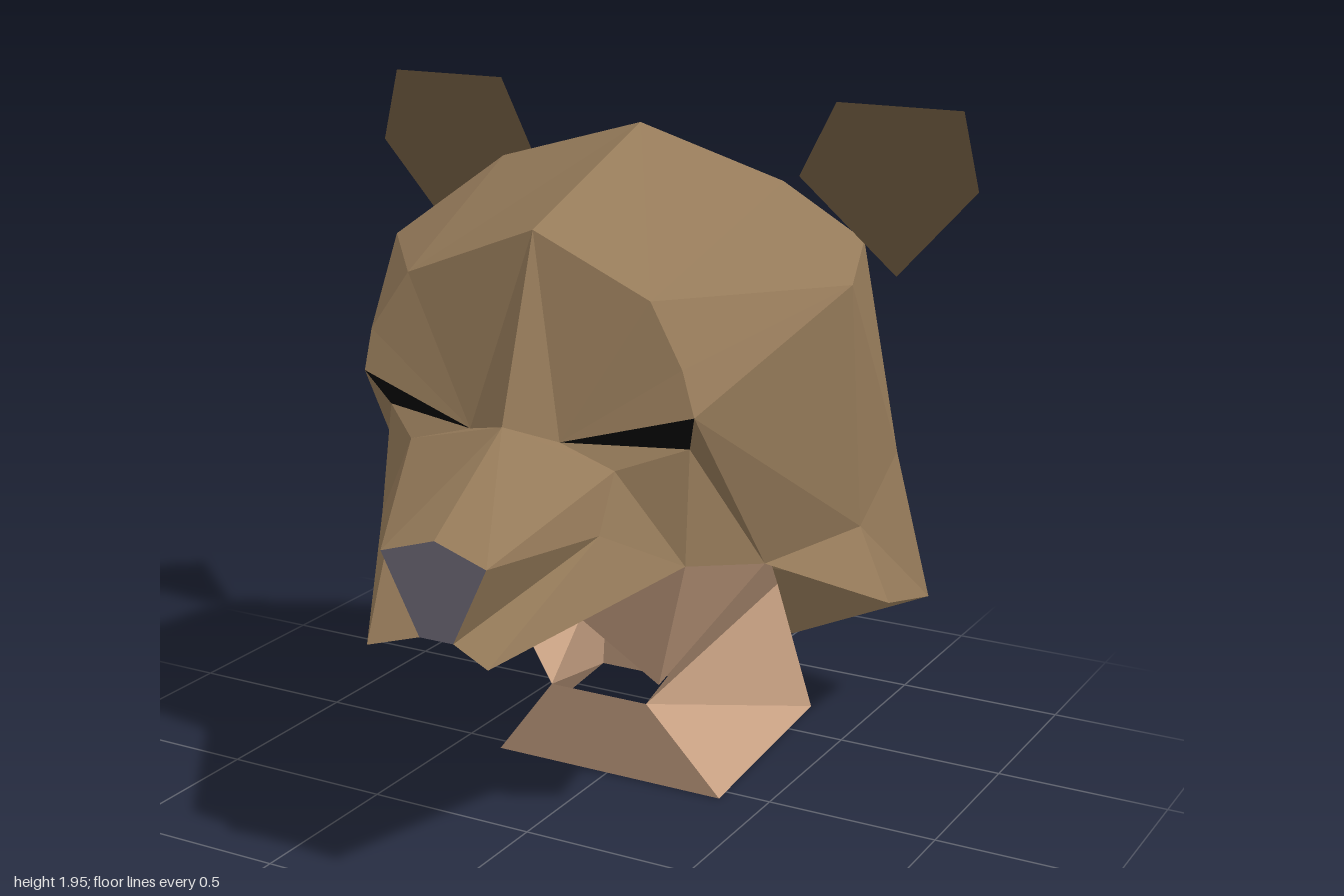
import * as THREE from 'three';

const mat = (name, color) => {
  const m = new THREE.MeshStandardMaterial({ color, flatShading: true, side: THREE.DoubleSide });
  m.name = name;
  return m;
};

// Corner points of the left half: x, y, z and how far the mirrored corner is shifted in x
const points = {
  // centre line
  crown: [0.05, 1.89, -0.05, 0.1], foreheadTop: [0.05, 1.69, 0.52, 0.1], bridge: [0.05, 1.21, 0.68, 0.1],
  noseTop: [0.05, 1.0, 1, 0.1], backTop: [0.05, 1.635, -0.575, 0.1], backMid: [0.05, 1.16, -0.79, 0.1],
  nape: [0, 0.055, -1, 0],
  // skull
  foreheadSide: [0.365, 1.53, 0.475, 0], temple: [0.47, 1.37, 0.5, 0], crownSide: [0.42, 1.74, -0.18, -0.05],
  sideTop: [0.73, 1.53, 0.05, 0.04], sideLow: [0.73, 0.845, -0.05, -0.01], sideBack: [0.6, 1.57, -0.325, 0.04],
  backSide: [0.575, 0.87, -0.68, 0.05], backLow: [0.63, 0.375, -0.84, 0],
  cheek: [0.84, 0.66, 0, 0.05], jawBack: [0.57, 0.79, 0.21, 0.04],
  // eyes and muzzle
  eyeOuter: [0.52, 1.26, 0.53, 0.045], eyeInner: [0.16, 1.16, 0.58, 0.05], eyeLow: [0.48, 1.16, 0.475, 0.05],
  underEye: [0.31, 1.1, 0.56, 0], jowl: [0.47, 0.845, 0.475, 0], muzzleSide: [0.31, 0.95, 0.64, 0],
  noseSide: [0.2, 0.95, 1, 0.09], noseLow: [0.1, 0.74, 1, 0.1], lip: [0.2, 0.69, 1, 0.04],
  // mouth and neck
  palateFront: [0.1, 0.74, 0.68, 0.1], palateBack: [0.12, 0.69, 0.5, 0], jawTip: [0.31, 0.43, 0.315, 0],
  throat: [0.5, 0.77, 0.05, 0], neckFront: [0.155, 0.265, 0.1, 0], neckFrontLow: [0.365, 0, 0.05, 0],
  neckBack: [0.29, 0.47, -0.475, 0], neckBackLow: [0.365, 0.055, -0.575, 0],
};

// A leading '-' picks the mirrored corner; side -1 mirrors the whole face
function corner(name, side) {
  if (name[0] === '-') { name = name.slice(1); side = -side; }
  const [x, y, z, shift] = points[name];
  return new THREE.Vector3(side > 0 ? x : shift - x, y, z);
}

// Triangles turned to face away from an inner point
function facets(name, triangles, material, centre) {
  const out = [];
  for (const tri of triangles) {
    const n = new THREE.Vector3(), mid = new THREE.Vector3();
    const t = new THREE.Triangle(...tri);
    t.getNormal(n);
    t.getMidpoint(mid);
    const order = n.dot(mid.sub(centre)) < 0 ? [0, 2, 1] : [0, 1, 2];
    for (const i of order) out.push(tri[i].x, tri[i].y, tri[i].z);
  }
  const g = new THREE.BufferGeometry();
  g.setAttribute('position', new THREE.Float32BufferAttribute(out, 3));
  g.computeVertexNormals();
  const mesh = new THREE.Mesh(g, material);
  mesh.name = name;
  return mesh;
}

// Faces are lists of 3 or 4 corner names
function panels(name, list, material, centre, sides = [1, -1]) {
  const triangles = [];
  for (const side of sides) for (const face of list) {
    const c = face.split(' ').map((k) => corner(k, side));
    for (let i = 1; i < c.length - 1; i++) triangles.push([c[0], c[i], c[i + 1]]);
  }
  return facets(name, triangles, material, new THREE.Vector3(...centre));
}

export function createModel() {
  const fur = mat('brown fur', 0x967b5a);
  const earFur = mat('dark brown inner ear', 0x65523a);
  const skin = mat('pale skin', 0xc8a183);
  const noseGrey = mat('grey nose', 0x6a6673);
  const black = mat('black eye', 0x080808);
  const group = new THREE.Group();
  group.name = 'animalHead';

  group.add(panels('skull', [
    'crown foreheadTop foreheadSide', 'crown foreheadSide crownSide', 'crownSide foreheadSide sideTop',
    'foreheadSide temple sideTop', 'temple eyeOuter sideTop',
    'crown crownSide backTop', 'crownSide sideBack backTop', 'crownSide sideTop sideBack',
    'backTop sideBack backSide', 'backTop backSide backMid', 'backMid backSide backLow',
    'sideTop sideLow backSide', 'sideTop backSide sideBack', 'sideLow backLow backSide', 'sideLow cheek backLow',
  ], fur, [0, 1, -0.1]));
  group.add(panels('backOfHead', ['backMid backLow -backLow', 'backLow -backLow nape'], fur, [0, 1, 0], [1]));

  group.add(panels('face', [
    'foreheadTop bridge eyeInner', 'foreheadTop eyeInner foreheadSide', 'foreheadSide eyeInner temple',
    'temple eyeInner eyeOuter', 'eyeOuter sideTop sideLow', 'eyeOuter sideLow jawBack',
    'eyeOuter jawBack eyeLow', 'sideLow cheek jawBack', 'jawBack cheek backLow',
    'eyeInner eyeLow underEye', 'eyeLow jawBack jowl', 'underEye eyeLow jowl',
  ], fur, [0, 1, 0]));
  group.add(panels('eyes', ['eyeOuter eyeInner eyeLow'], black, [0, 1, 0]));

  group.add(panels('muzzle', [
    'bridge eyeInner underEye', 'bridge underEye noseSide', 'bridge noseSide noseTop',
    'underEye muzzleSide noseSide', 'underEye jowl muzzleSide', 'muzzleSide jowl lip',
    'muzzleSide lip noseLow', 'noseSide muzzleSide noseLow',
  ], fur, [0.04, 0.9, 0.5]));
  group.add(panels('nose', ['noseTop noseSide noseLow', 'noseTop noseLow -noseLow'], noseGrey, [0.05, 0.9, 0.5]));

  // Roof of the mouth and hanging jaw flaps
  group.add(panels('palate', ['noseLow palateFront lip', 'lip palateFront jowl', 'palateFront palateBack jowl'],
    skin, [0, 1.1, 0.6]));
  group.add(panels('palateCentre', ['noseLow -noseLow -palateFront palateFront',
    'palateFront -palateFront -palateBack palateBack'], skin, [0, 1.1, 0.6], [1]));
  group.add(panels('jawFlaps', ['jowl palateBack jawTip', 'jowl jawTip jawBack'], skin, [0, 0.8, 0]));

  // Hollow neck with a flap rising to each cheek
  group.add(panels('neckSides', ['neckFront neckFrontLow neckBackLow neckBack', 'throat neckFront neckBack'],
    skin, [0, 0.3, -0.25]));
  group.add(panels('neckFrontAndBack', ['neckFront -neckFront -neckFrontLow neckFrontLow',
    'neckBack -neckBack -neckBackLow neckBackLow'], skin, [0, 0.3, -0.25], [1]));

  // Ears: flat five-sided front with a pointed back
  const rim = [[0.945, 1.74], [0.895, 1.95], [0.53, 1.95], [0.425, 1.74], [0.72, 1.49]];
  for (const side of [1, -1]) {
    const ear = new THREE.Group();
    ear.name = side > 0 ? 'leftEar' : 'rightEar';
    const edge = rim.map(([x, y]) => new THREE.Vector3(side * x, y, -0.27));
    const tip = new THREE.Vector3(side * 0.737, 1.79, -0.55);
    const inside = new THREE.Vector3(side * 0.72, 1.78, -0.35);
    ear.add(facets('earBack', edge.map((p, i) => [p, edge[(i + 1) % 5], tip]), fur, inside));
    ear.add(facets('earFront', [1, 2, 3].map((i) => [edge[0], edge[i], edge[i + 1]]), earFur, inside));
    group.add(ear);
  }
  return group;
}
